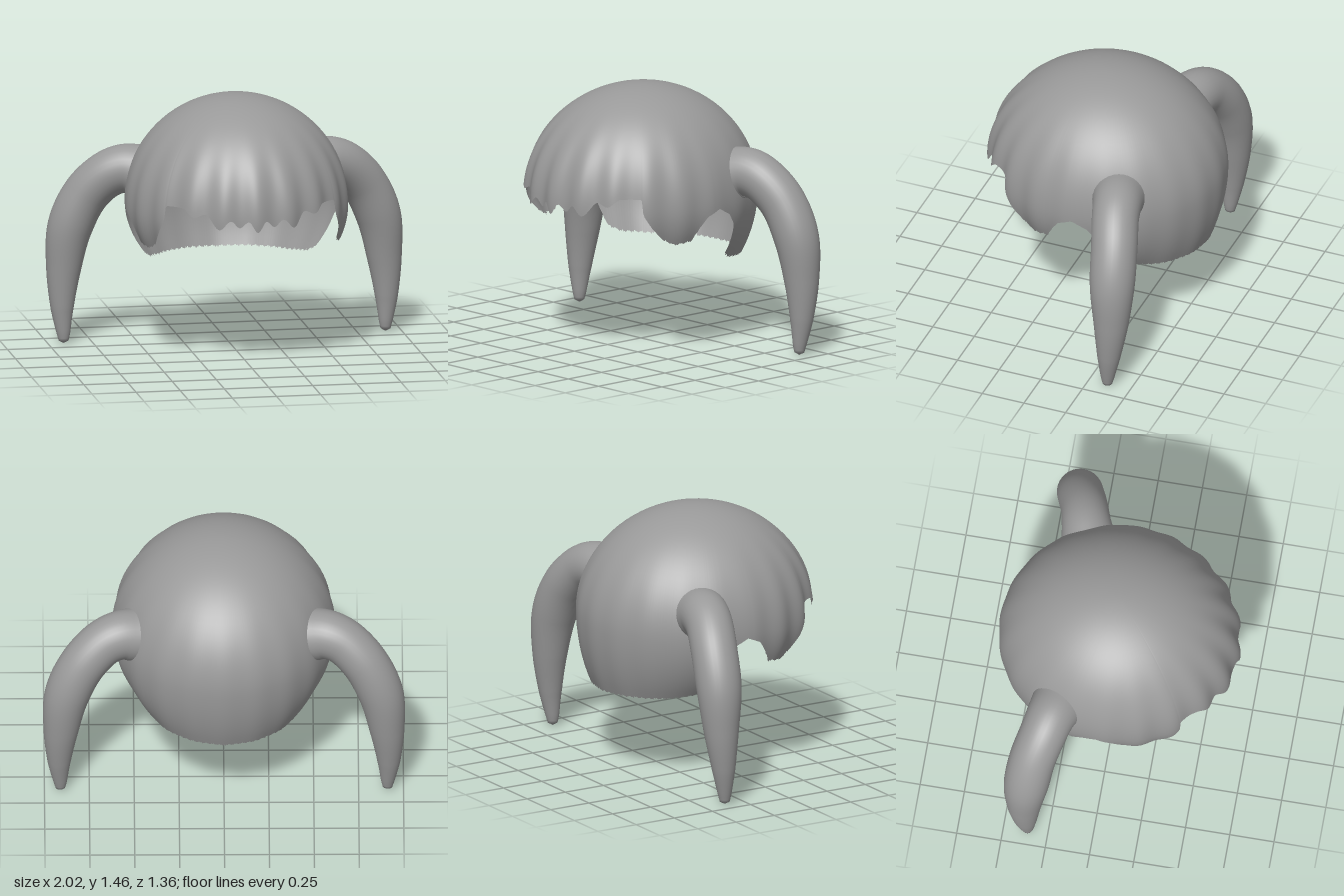
import * as THREE from 'three';
import { mergeVertices } from 'three/addons/utils/BufferGeometryUtils.js';

const hair = new THREE.MeshStandardMaterial({ color: 0x999999, side: THREE.DoubleSide });
hair.name = 'hair grey';

// Hem height by angle from the front (degrees): fringe, sideburn, ear arch, nape
const HEM = [
  [0, 0.81], [4.6, 0.87], [9.3, 0.835], [14, 0.875], [19.8, 0.825], [27.9, 0.905], [33.3, 0.885],
  [40.2, 0.93], [50.5, 0.93], [51.5, 0.84], [56, 0.76], [61.5, 0.69], [68, 0.655], [78, 0.668],
  [81, 0.73], [85.6, 0.8], [92.5, 0.835], [100, 0.79], [105, 0.72], [107, 0.63], [110, 0.535],
  [118, 0.5], [135, 0.48], [180, 0.47],
];

function hemHeight(deg) {
  const i = Math.max(1, HEM.findIndex((p) => p[0] >= deg));
  const [a0, y0] = HEM[i - 1], [a1, y1] = HEM[i];
  const k = (deg - a0) / (a1 - a0);
  const inFringe = deg < 51;
  const s = inFringe ? k * k * (3 - 2 * k) : k;
  // ragged strand ends on the sideburns and nape
  const ragged = (deg > 62 && deg < 81) || deg > 108;
  const jag = ragged ? 0.008 * Math.sin(deg * 2.9) * Math.sin(deg * 1.3 + 1) : 0;
  return y0 + (y1 - y0) * s + jag;
}

// Open shell: each column runs from the crown down to the hem
function capGeometry() {
  const cols = 540, rows = 32, midY = 0.85, top = 0.61;
  const pos = [], index = [];
  for (let c = 0; c < cols; c++) {
    const a = (c / cols) * Math.PI * 2;
    const deg = (c / cols) * 360;
    const back = Math.max(0, -Math.cos(a)), front = Math.max(0, Math.cos(a));
    const low = 0.52 + 0.33 * back * back;
    const d = hemHeight(deg > 180 ? 360 - deg : deg) - midY;
    const end = Math.asin(d / (d > 0 ? top : low));
    for (let r = 0; r <= rows; r++) {
      const e = Math.PI / 2 + (end - Math.PI / 2) * (r / rows);
      const y = midY + Math.sin(e) * (e > 0 ? top : low);
      // soft flutes, strongest low on the fringe
      const fade = THREE.MathUtils.smoothstep(1.4 - y, 0, 0.5);
      const flute = 1 + (0.003 + 0.013 * Math.sqrt(front)) * fade * (Math.cos(a * 20) - 0.6);
      const f = Math.cos(e) * flute;
      pos.push(0.622 * Math.sin(a) * f, y, 0.677 * Math.cos(a) * f);
    }
  }
  const n = rows + 1;
  for (let c = 0; c < cols; c++) {
    const p = c * n, q = ((c + 1) % cols) * n;
    for (let r = 0; r < rows; r++) {
      if (r > 0) index.push(p + r, p + r + 1, q + r);
      index.push(q + r, p + r + 1, q + r + 1);
    }
  }
  const g = new THREE.BufferGeometry();
  g.setAttribute('position', new THREE.Float32BufferAttribute(pos, 3));
  g.setIndex(index);
  const merged = mergeVertices(g, 1e-5);
  merged.computeVertexNormals();
  return merged;
}

// Pigtail path: x, y, z, radius
const TAIL = [
  [0.5, 0.985, -0.265, 0.15], [0.58, 0.997, -0.29, 0.138], [0.67, 0.965, -0.315, 0.132],
  [0.785, 0.85, -0.355, 0.13], [0.873, 0.66, -0.378, 0.126], [0.908, 0.42, -0.385, 0.098],
  [0.918, 0.2, -0.376, 0.065], [0.912, 0.05, -0.366, 0.037], [0.911, 0.012, -0.365, 0.026],
  [0.91, 0, -0.365, 0],
];

function tailGeometry(side) {
  const path = new THREE.CatmullRomCurve3(TAIL.map(([x, y, z]) => new THREE.Vector3(x * side, y, z)));
  const radii = new THREE.SplineCurve(TAIL.map((p, i) => new THREE.Vector2(i, p[3])));
  const steps = 80, around = 32;
  const g = new THREE.TubeGeometry(path, steps, 1, around, false);
  const P = g.attributes.position, N = g.attributes.normal;
  for (let i = 0; i <= steps; i++) {
    const u = i / steps;
    const centre = path.getPointAt(u);
    const r = Math.max(0, radii.getPoint(path.getUtoTmapping(u)).y);
    for (let j = 0; j <= around; j++) {
      const k = i * (around + 1) + j;
      P.setXYZ(k, centre.x + N.getX(k) * r, centre.y + N.getY(k) * r, centre.z + N.getZ(k) * r);
    }
  }
  g.deleteAttribute('uv');
  g.deleteAttribute('normal');
  const merged = mergeVertices(g, 1e-5);
  merged.computeVertexNormals();
  return merged;
}

export function createModel() {
  const group = new THREE.Group();
  group.name = 'wig';
  const add = (name, geometry) => {
    const mesh = new THREE.Mesh(geometry, hair);
    mesh.name = name;
    group.add(mesh);
  };
  add('hairCap', capGeometry());
  add('leftPigtail', tailGeometry(1));
  add('rightPigtail', tailGeometry(-1));
  return group;
}
